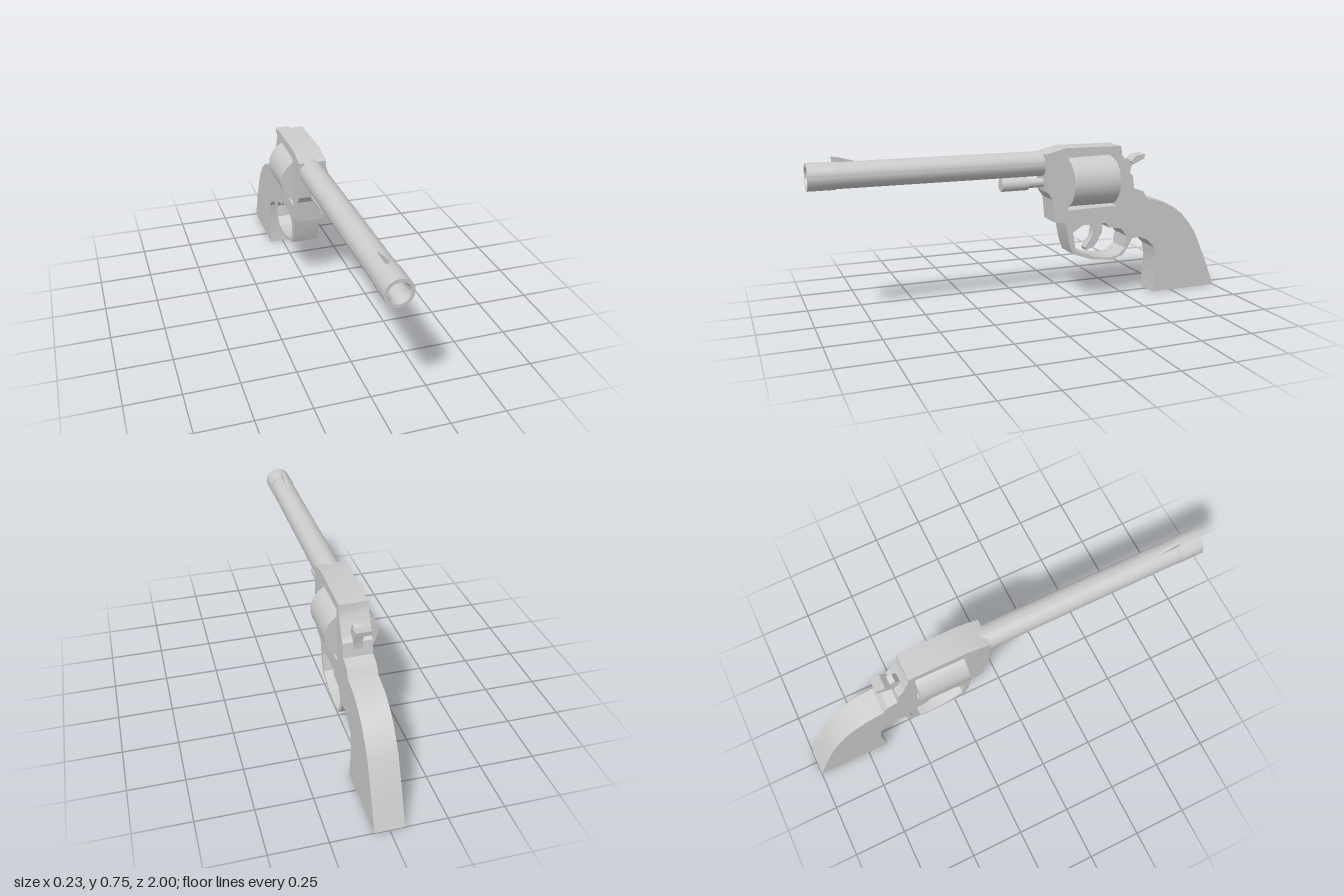
import * as THREE from 'three';
import { toCreasedNormals } from 'three/addons/utils/BufferGeometryUtils.js';

const material = new THREE.MeshStandardMaterial({ color: 0xcccccc });

function addMesh(parent, name, geometry) {
  const mesh = new THREE.Mesh(toCreasedNormals(geometry, 0.45), material);
  mesh.name = name;
  parent.add(mesh);
  return mesh;
}

const toPoints = (pairs) => pairs.map(([z, y]) => new THREE.Vector2(z, y));

// Side profile in (z, y), extruded symmetrically across x
function plate(parent, name, outline, width, holes = []) {
  const shape = new THREE.Shape(toPoints(outline));
  holes.forEach((h) => shape.holes.push(new THREE.Path(toPoints(h))));
  const geo = new THREE.ExtrudeGeometry(shape, { depth: width, bevelEnabled: false });
  geo.translate(0, 0, -width / 2).rotateY(-Math.PI / 2);
  return addMesh(parent, name, geo);
}

// Profile in (radius, z) turned around an axis parallel to z
function turned(parent, name, profile, x, y, segments = 40) {
  const geo = new THREE.LatheGeometry(toPoints(profile), segments);
  geo.rotateX(Math.PI / 2).translate(x, y, 0);
  return addMesh(parent, name, geo);
}

export function createModel() {
  const model = new THREE.Group();
  model.name = 'revolver';

  // Frame, grip and trigger guard in one slab with two openings
  const outline = [
    [-0.07, 0.72], [-0.17, 0.745], [-0.455, 0.742], [-0.46, 0.70], [-0.475, 0.675],
    [-0.495, 0.62], [-0.52, 0.595], [-0.53, 0.53], [-0.58, 0.515], [-0.605, 0.475],
    [-0.69, 0.457], [-0.75, 0.425], [-0.80, 0.388], [-0.845, 0.335], [-0.88, 0.285],
    [-0.945, 0.14], [-1, 0], [-0.65, 0], [-0.663, 0.16], [-0.652, 0.227],
    [-0.61, 0.27], [-0.56, 0.29], [-0.525, 0.285], [-0.505, 0.245], [-0.475, 0.207],
    [-0.42, 0.188], [-0.315, 0.198], [-0.21, 0.235], [-0.19, 0.29], [-0.17, 0.39],
    [-0.115, 0.397], [-0.105, 0.505], [-0.08, 0.54], [-0.075, 0.60],
  ];
  const cylinderWindow = [[-0.185, 0.45], [-0.185, 0.70], [-0.425, 0.705], [-0.44, 0.455]];
  const guardOpening = [
    [-0.21, 0.34], [-0.26, 0.372], [-0.38, 0.375], [-0.40, 0.35], [-0.465, 0.34],
    [-0.495, 0.30], [-0.487, 0.24], [-0.45, 0.207], [-0.40, 0.2], [-0.32, 0.212],
    [-0.225, 0.25],
  ];
  plate(model, 'frameAndGrip', outline, 0.129, [cylinderWindow, guardOpening]);

  // Barrel with hollow muzzle and a shallow step behind it
  turned(model, 'barrel', [
    [0, -0.15], [0.058, -0.15], [0.058, 0.88], [0.061, 0.88], [0.061, 1],
    [0.047, 1], [0.041, 0.97], [0.041, 0.85], [0, 0.85],
  ], -0.005, 0.67);
  const sight = plate(model, 'frontSight', [[0.89, 0.72], [0.89, 0.752], [0.86, 0.748], [0.78, 0.725], [0.78, 0.72]], 0.012);
  sight.position.x = -0.01;

  // Round drum
  turned(model, 'drum', [[0, -0.43], [0.117, -0.43], [0.117, -0.195], [0, -0.195]], 0, 0.575, 48);

  // Ejector rod with a thicker head
  turned(model, 'ejectorRod', [
    [0, -0.2], [0.015, -0.2], [0.015, -0.15], [0.022, -0.15], [0.022, 0],
    [0.031, 0], [0.031, 0.13], [0, 0.13],
  ], 0, 0.58, 24);

  plate(model, 'trigger', [
    [-0.33, 0.385], [-0.385, 0.385], [-0.383, 0.32], [-0.345, 0.255], [-0.30, 0.235],
    [-0.293, 0.25], [-0.33, 0.30], [-0.338, 0.34],
  ], 0.045);

  // Hammer: narrow neck with a wider thumb spur
  plate(model, 'hammerNeck', [
    [-0.47, 0.57], [-0.48, 0.64], [-0.505, 0.675], [-0.53, 0.665], [-0.555, 0.66],
    [-0.54, 0.645], [-0.525, 0.60], [-0.525, 0.56],
  ], 0.04);
  plate(model, 'hammerSpur', [
    [-0.525, 0.66], [-0.555, 0.687], [-0.6, 0.692], [-0.596, 0.67], [-0.54, 0.645],
  ], 0.07);

  return model;
}
